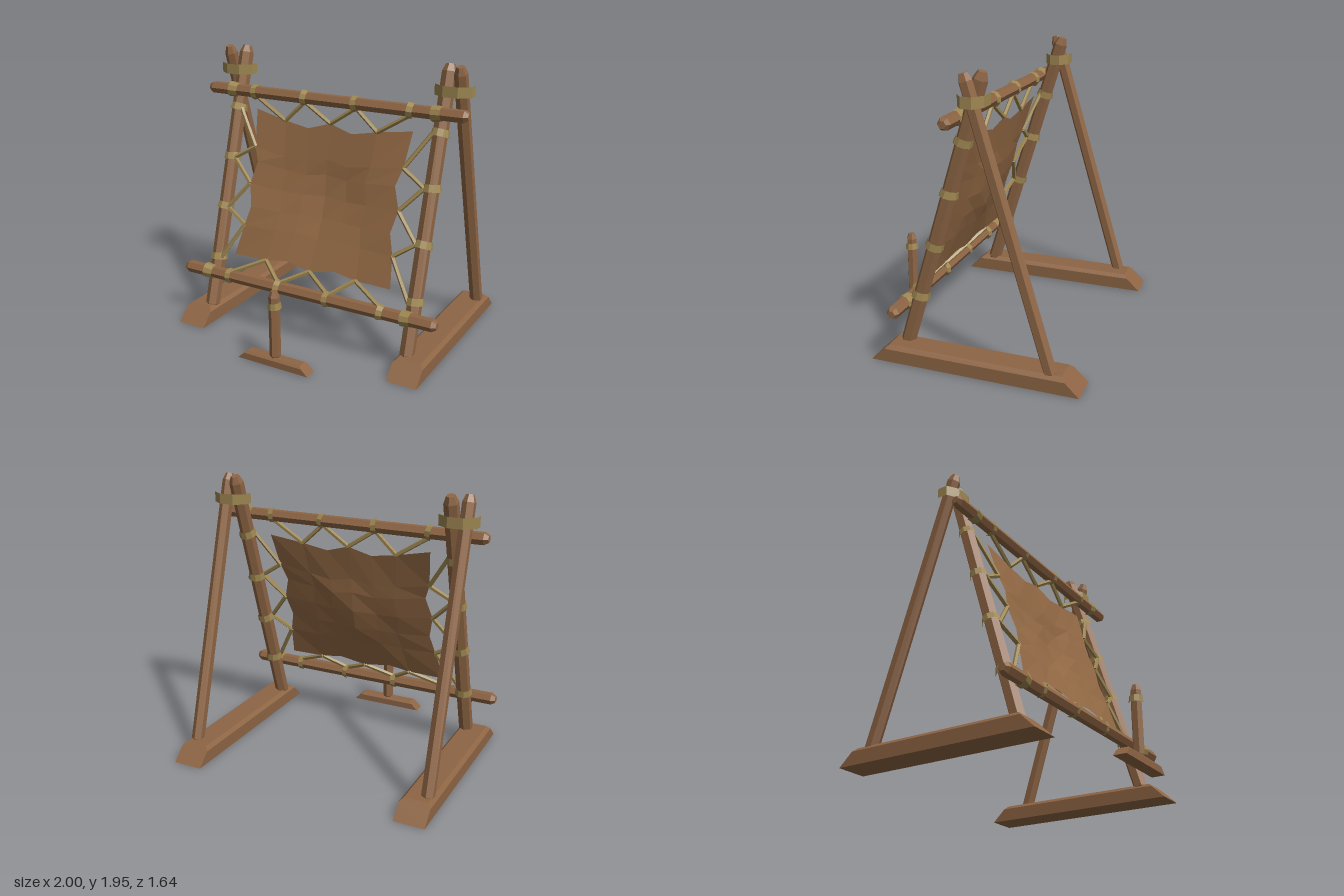
import * as THREE from 'three';
import { ConvexGeometry } from 'three/addons/geometries/ConvexGeometry.js';

const V = (x, y, z) => new THREE.Vector3(x, y, z);
const UP = V(0, 1, 0);

export function createModel() {
  const root = new THREE.Group();
  const material = (name, color, side = THREE.FrontSide) => {
    const m = new THREE.MeshStandardMaterial({ color, side, flatShading: true });
    m.name = name;
    return m;
  };
  const wood = material('wood', 0x8e6544);
  const rope = material('rope', 0x9e8751);
  const hide = material('hide', 0x946a45, THREE.DoubleSide);

  const add = (name, geometry, mat) => {
    const mesh = new THREE.Mesh(geometry, mat);
    mesh.name = name;
    root.add(mesh);
    return mesh;
  };
  const aim = (mesh, position, direction) => {
    mesh.position.copy(position);
    mesh.quaternion.setFromUnitVectors(UP, direction.clone().normalize());
    return mesh;
  };

  // Hexagonal log with chamfered ends
  const log = (name, a, b, r, chamfer) => {
    const dir = b.clone().sub(a), L = dir.length();
    const profile = [[0, 0], [r * 0.6, 0], [r, chamfer], [r, L - chamfer], [r * 0.6, L], [0, L]]
      .map(([x, y]) => new THREE.Vector2(x, y));
    return aim(add(name, new THREE.LatheGeometry(profile, 6), wood), a, dir);
  };
  // Open rope binding around an axis, slightly conical and crooked
  const binding = (name, p, dir, r, h, tilt) => {
    const g = new THREE.CylinderGeometry(r * 0.88, r, h, 9, 1, true).rotateX(tilt).rotateZ(tilt);
    return aim(add(name, g, rope), p, dir);
  };
  const cord = (a, b) => {
    const dir = b.clone().sub(a);
    const g = new THREE.CylinderGeometry(0.016, 0.016, dir.length(), 5);
    return aim(add('lacing', g, rope), a.clone().lerp(b, 0.5), dir);
  };
  // Beam lying along z with sloped ends and chamfered top edges
  const beam = (name, half, z0, z1, h, edge) => {
    const pts = [];
    for (const [w, y] of [[half, 0], [half, h - edge], [half - edge, h]])
      for (const s of [-1, 1]) pts.push(V(s * w, y, z0 + y * 1.05), V(s * w, y, z1 - y * 1.05));
    return add(name, new ConvexGeometry(pts), wood);
  };

  // Height to depth along the leaning front posts and the hide
  const postZ = y => 0.405 - (y - 0.11) * 0.3;
  const hideZ = y => 0.022 + (1.5 - y) * 0.303;

  // A-frame sides
  const wrapHeights = [1.515, 1.17, 0.815, 0.455];
  for (const s of [-1, 1]) {
    beam('baseBeam', 0.107, -0.825, 0.605, 0.115, 0.025).position.x = s * 0.842;
    log('frontPost', V(s * 0.792, 0.06, postZ(0.06)), V(s * 0.792, 1.945, postZ(1.945)), 0.051, 0.05);
    log('rearPost', V(s * 0.89, 0.06, -0.635), V(s * 0.89, 1.945, -0.062), 0.046, 0.05);
    wrapHeights.forEach((y, i) =>
      binding('postBinding', V(s * 0.792, y, postZ(y)), V(0, 1, -0.3), 0.064, 0.05, i % 2 ? 0.06 : -0.06));
    // Wide band joining the crossed posts
    const band = new THREE.CylinderGeometry(1, 1, 0.072, 8, 1, true).rotateY(Math.PI / 8);
    band.scale(0.126 / Math.cos(Math.PI / 8), 1, 0.086 / Math.cos(Math.PI / 8));
    add('crossingBand', band, rope).position.set(s * 0.842, 1.785, -0.108);
  }

  // Cross rails with bindings
  const rails = [[1.652, 0.03], [0.375, 0.42]];
  for (const [y, z] of rails) {
    log('rail', V(-1, y, z), V(1, y, z), 0.044, 0.03);
    [-0.79, -0.6, -0.2, 0.2, 0.6, 0.79].forEach((x, i) =>
      binding('railBinding', V(x, y, z), V(1, 0, 0), 0.056, Math.abs(x) > 0.7 ? 0.068 : 0.04, i % 2 ? 0.1 : -0.1));
  }

  // Stretched hide: edge outlines blended across a grid, sagging to the rear
  const top = [[-0.61, 1.525], [-0.36, 1.47], [-0.17, 1.44], [0, 1.49], [0.17, 1.44], [0.36, 1.475], [0.615, 1.51]];
  const bottom = [[-0.63, 0.505], [-0.36, 0.51], [-0.2, 0.535], [0, 0.5], [0.2, 0.535], [0.36, 0.51], [0.62, 0.505]];
  const left = [top[0], [-0.583, 1.265], [-0.545, 1.165], [-0.585, 1.01], [-0.55, 0.855], [-0.583, 0.72], bottom[0]];
  const right = [top[6], [0.585, 1.275], [0.545, 1.155], [0.595, 1.005], [0.56, 0.855], [0.6, 0.715], bottom[6]];
  const N = 6;
  const sheet = new THREE.PlaneGeometry(1, 1, N, N);
  const pos = sheet.attributes.position;
  for (let j = 0; j <= N; j++) {
    for (let i = 0; i <= N; i++) {
      const u = i / N, v = j / N;
      const [x, y] = [0, 1].map(k =>
        (1 - v) * top[i][k] + v * bottom[i][k] + (1 - u) * left[j][k] + u * right[j][k]
        - (1 - u) * (1 - v) * top[0][k] - u * (1 - v) * top[6][k]
        - (1 - u) * v * bottom[0][k] - u * v * bottom[6][k]);
      const inner = Math.sin(Math.PI * u) * Math.sin(Math.PI * v);
      const ripple = 0.012 * Math.sin(i * 2.3 + j * 1.1);
      pos.setXYZ(j * (N + 1) + i, x, y, hideZ(y) + inner * (ripple - 0.055));
    }
  }
  sheet.computeVertexNormals();
  add('hide', sheet, hide);

  // Zigzag lacing from the frame to the hide
  const zigzag = (anchors, ties) => ties.forEach((t, i) => {
    cord(anchors[i], t);
    cord(anchors[i + 1], t);
  });
  const onHide = ([x, y]) => V(x, y, hideZ(y));
  [top, bottom].forEach((edge, k) => {
    const [y, z] = rails[k];
    zigzag([-0.6, -0.2, 0.2, 0.6].map(x => V(x, y + (k ? 0.03 : -0.03), z)), [1, 3, 5].map(i => onHide(edge[i])));
  });
  [left, right].forEach((edge, k) => {
    const x = k ? 0.75 : -0.75;
    zigzag(wrapHeights.map(y => V(x, y, postZ(y) + 0.03)), [1, 3, 5].map(i => onHide(edge[i])));
  });

  // Small free-standing stake in front
  const foot = beam('stakeFoot', 0.045, -0.272, 0.272, 0.06, 0.015);
  foot.rotation.y = Math.PI / 2;
  foot.position.z = 0.772;
  log('stake', V(0, 0.03, 0.772), V(0, 0.535, 0.772), 0.038, 0.04);
  binding('stakeBinding', V(0, 0.437, 0.772), UP, 0.049, 0.045, 0.05);

  return root;
}
